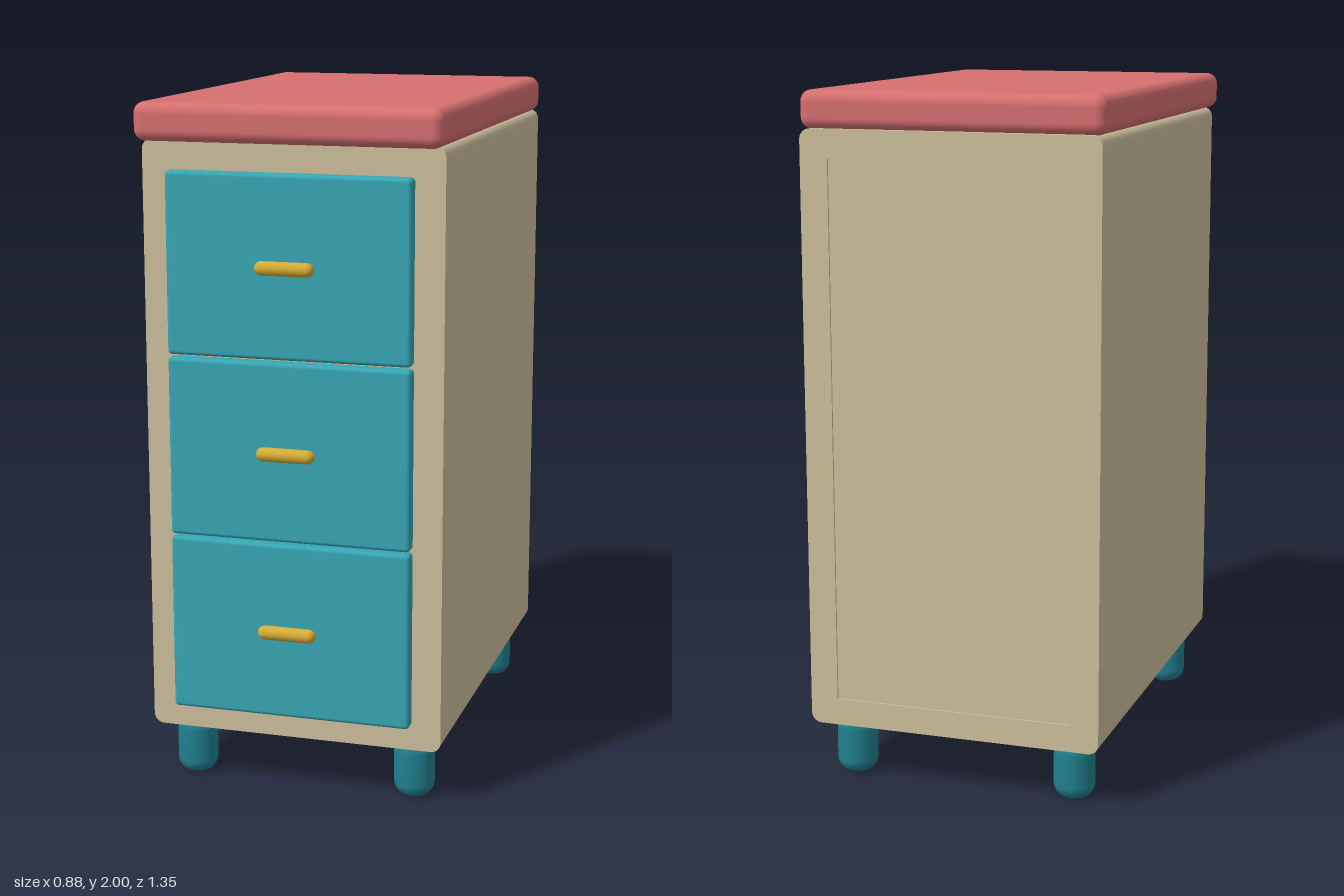
import * as THREE from 'three';
import { RoundedBoxGeometry } from 'three/addons/geometries/RoundedBoxGeometry.js';

const mat = (name, color) => {
  const m = new THREE.MeshStandardMaterial({ color });
  m.name = name;
  return m;
};

// Rounded rectangle in the xy plane, centred on x = 0
function roundedRect(halfWidth, bottom, top, r, Type = THREE.Shape) {
  const s = new Type();
  s.absarc(halfWidth - r, bottom + r, r, -Math.PI / 2, 0);
  s.absarc(halfWidth - r, top - r, r, 0, Math.PI / 2);
  s.absarc(-halfWidth + r, top - r, r, Math.PI / 2, Math.PI);
  s.absarc(-halfWidth + r, bottom + r, r, Math.PI, Math.PI * 1.5);
  s.closePath();
  return s;
}

export function createModel() {
  const group = new THREE.Group();
  const tan = mat('tan body', 0xcdbf9c);
  const red = mat('red top', 0xd66f6f);
  const teal = mat('teal drawers', 0x37a6b4);
  const darkTeal = mat('dark teal feet', 0x20808e);
  const gold = mat('gold handles', 0xd4ac35);

  const add = (name, geometry, material, x = 0, y = 0, z = 0) => {
    const mesh = new THREE.Mesh(geometry, material);
    mesh.name = name;
    mesh.position.set(x, y, z);
    group.add(mesh);
    return mesh;
  };
  const extrude = (shape, depth) =>
    new THREE.ExtrudeGeometry(shape, { depth, bevelEnabled: false, curveSegments: 6 });

  // Cabinet body, with a thin frame around the slightly sunken back panel
  const lip = 0.006;
  add('body', extrude(roundedRect(0.435, 0.172, 1.895, 0.03), 1.26 - lip), tan, 0, 0, -0.675 + lip);
  const frame = roundedRect(0.435, 0.172, 1.895, 0.03);
  frame.holes.push(roundedRect(0.353, 0.25, 1.815, 0.005, THREE.Path));
  add('backFrame', extrude(frame, lip), tan, 0, 0, -0.675);

  // Overhanging top
  add('top', new RoundedBoxGeometry(0.88, 0.108, 1.328, 5, 0.032), red, 0, 1.946, -0.011);

  // Three drawers, each with a bar handle
  for (const y of [0.508, 1.031, 1.555]) {
    add('drawer', new RoundedBoxGeometry(0.706, 0.516, 0.047, 4, 0.012), teal, 0, y, 0.611);
    const handle = add('handle', new THREE.CapsuleGeometry(0.02, 0.13, 6, 16), gold, 0, y + 0.002, 0.655);
    handle.rotation.z = Math.PI / 2;
  }

  // Rounded feet
  const profile = [new THREE.Vector2(0, 0)];
  const r = 0.06, c = 0.042, height = 0.178;
  for (const [cy, start] of [[c, -Math.PI / 2], [height - c, 0]]) {
    for (let i = 0; i <= 6; i++) {
      const a = start + (i / 6) * Math.PI / 2;
      profile.push(new THREE.Vector2(r - c + c * Math.cos(a), cy + c * Math.sin(a)));
    }
  }
  profile.push(new THREE.Vector2(0, height));
  const foot = new THREE.LatheGeometry(profile, 24);
  for (const x of [-0.335, 0.335]) {
    for (const z of [0.488, -0.57]) add('foot', foot, darkTeal, x, 0, z);
  }
  return group;
}
